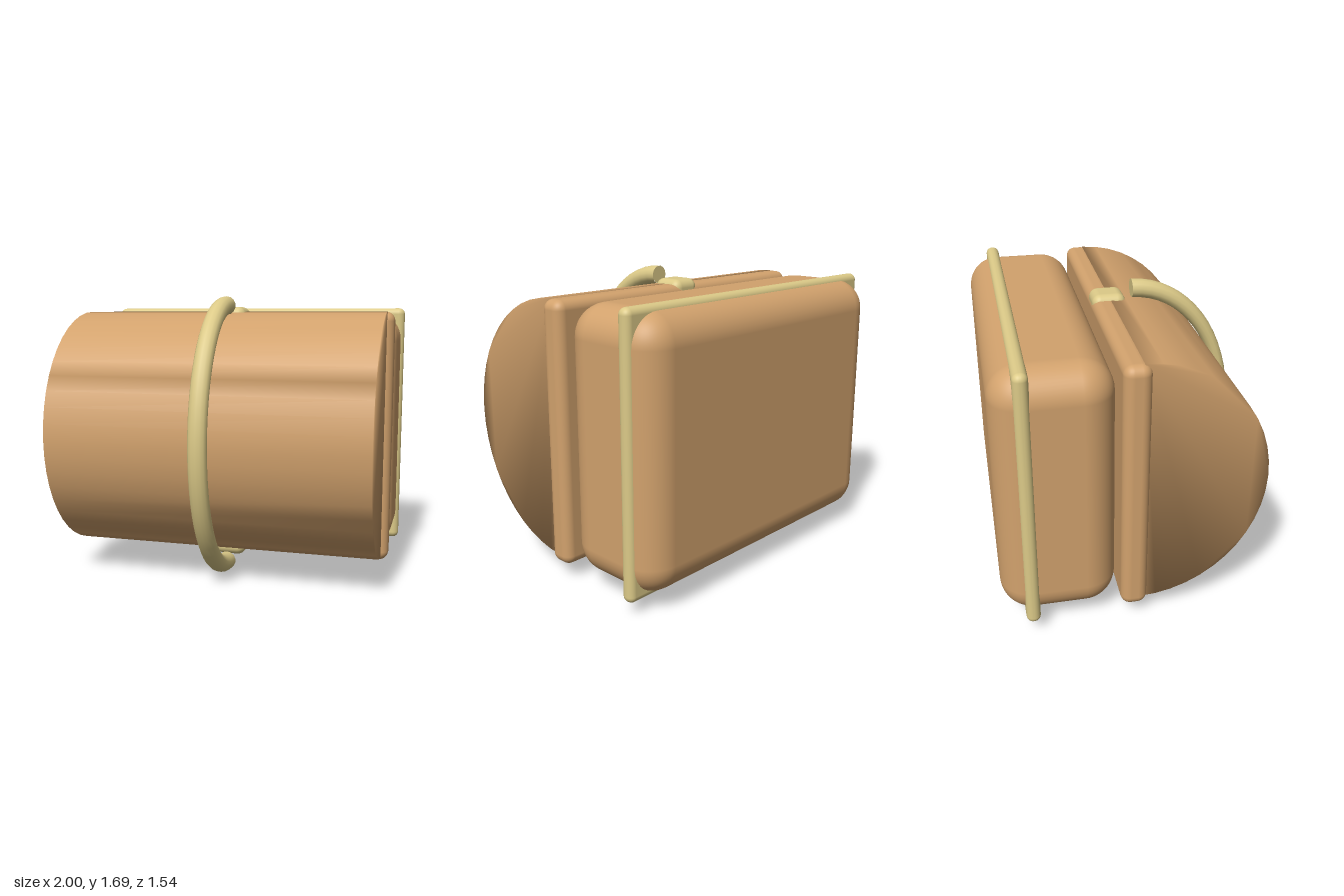
import * as THREE from 'three';
import { mergeVertices } from 'three/addons/utils/BufferGeometryUtils.js';
import { RoundedBoxGeometry } from 'three/addons/geometries/RoundedBoxGeometry.js';

const mat = (name, color) => {
  const m = new THREE.MeshStandardMaterial({ color });
  m.name = name;
  return m;
};

export function createModel() {
  const tan = mat('tan leather', 0xd2a26d);
  const gold = mat('pale gold', 0xdcca88);
  const red = mat('dark red', 0x8c3236);
  const model = new THREE.Group();
  model.name = 'bag';

  const add = (name, geometry, material, x = 0, y = 0, z = 0) => {
    const mesh = new THREE.Mesh(geometry, material);
    mesh.name = name;
    mesh.position.set(x, y, z);
    model.add(mesh);
    return mesh;
  };

  // Rear body, its trim frame and the thinner middle panel
  add('body', new RoundedBoxGeometry(1.96, 1.5, 0.65, 6, 0.18), tan, 0, 0.85, -0.445);
  add('trimFrame', new RoundedBoxGeometry(2, 1.54, 0.08, 4, 0.038), gold, 0, 0.853, -0.605);
  add('middlePanel', new RoundedBoxGeometry(1.96, 1.5, 0.15, 4, 0.055), tan, 0, 0.85, -0.03);

  // Bulging front: half ellipse swept across x, softened over all its edges
  const profile = new THREE.Shape();
  const steps = 24;
  for (let i = 0; i <= steps; i++) {
    const a = -Math.PI / 2 + (Math.PI * i) / steps;
    const p = [-0.7 * Math.cos(a), 0.735 * Math.sin(a)];
    if (i) profile.lineTo(...p);
    else profile.moveTo(...p);
  }
  let bulge = new THREE.ExtrudeGeometry(profile, { depth: 1.88, bevelEnabled: false });
  bulge.translate(0, 0, -0.94).rotateY(Math.PI / 2);
  bulge.deleteAttribute('uv');
  bulge.deleteAttribute('normal');
  bulge = mergeVertices(bulge, 1e-4);
  bulge.computeVertexNormals();
  add('frontBulge', bulge, tan, 0, 0.865, 0.005);

  // Arched strap over the bulge with closed ends
  const arch = new THREE.Group();
  arch.name = 'archStrap';
  const half = new THREE.TorusGeometry(0.788, 0.055, 14, 32, Math.PI);
  half.rotateZ(-Math.PI / 2).rotateY(-Math.PI / 2);
  const strap = new THREE.Mesh(half, gold);
  strap.name = 'strap';
  arch.add(strap);
  for (const s of [1, -1]) {
    const cap = new THREE.Mesh(new THREE.CircleGeometry(0.055, 14), gold);
    cap.name = 'strapEnd';
    cap.rotation.y = Math.PI;
    cap.position.y = 0.788 * s;
    arch.add(cap);
  }
  arch.scale.z = 0.747;
  arch.position.set(0, 0.848, 0.14);
  model.add(arch);

  // Clasp band round the middle panel
  add('claspBand', new RoundedBoxGeometry(0.19, 1.55, 0.196, 4, 0.05), gold, 0, 0.853, -0.003);

  // Round foot under the body and the short peg in the gap
  add('foot', new THREE.CylinderGeometry(0.194, 0.194, 0.075, 32), gold, 0, 0.0875, -0.329);
  const peg = new THREE.LineCurve3(new THREE.Vector3(0, 0.42, -0.08), new THREE.Vector3(0, 0.1, -0.2));
  add('peg', new THREE.TubeGeometry(peg, 1, 0.055, 14), gold);

  // Thin inlays on the hidden front face of the body
  for (const [x, w] of [[-0.55, 0.14], [-0.3, 0.2], [0, 0.14], [0.3, 0.2], [0.55, 0.14]]) {
    add('inlay', new THREE.BoxGeometry(w, 1.05, 0.009), red, x, 0.885, -0.116);
  }
  return model;
}
